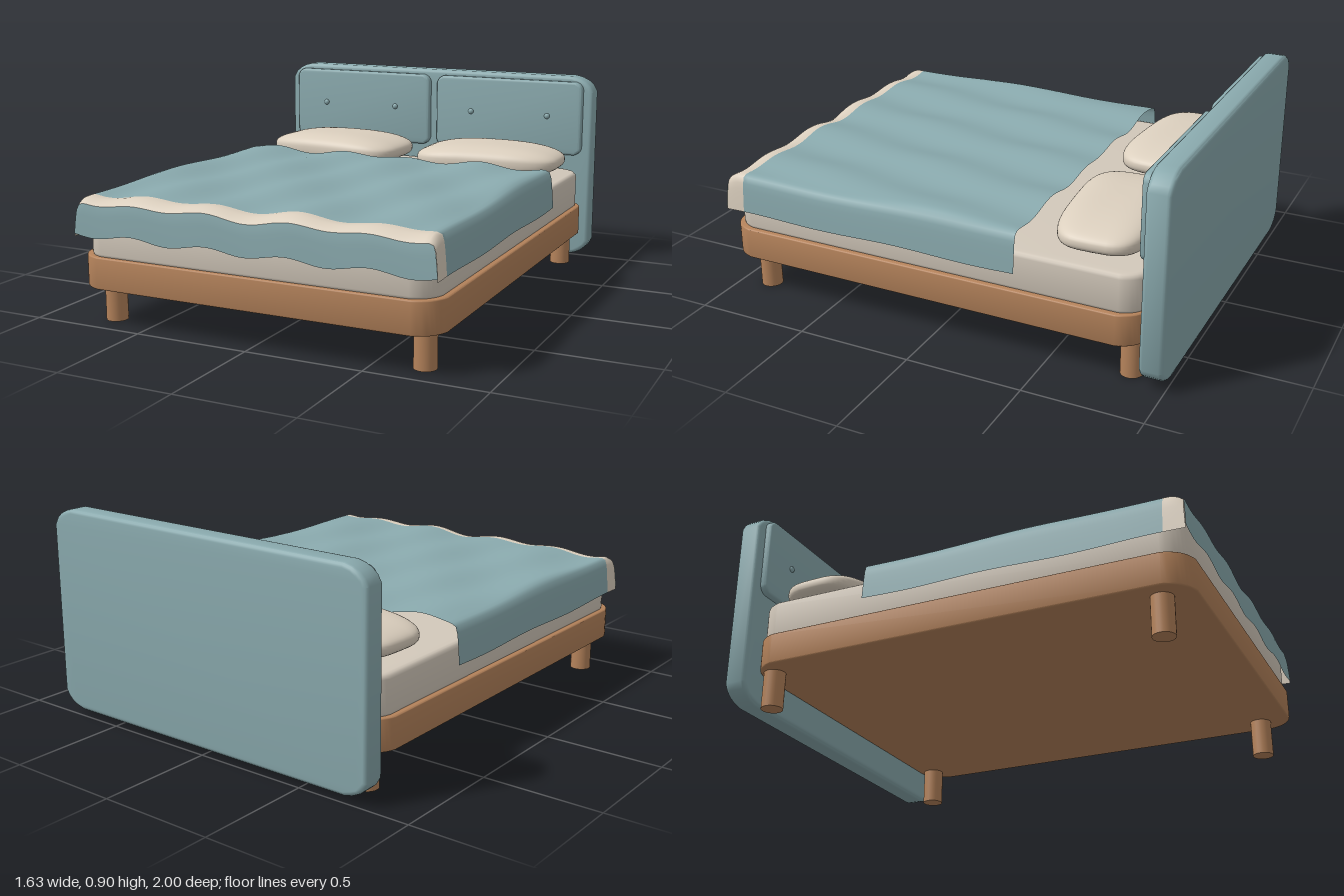
import * as THREE from 'three';
import { toCreasedNormals } from 'three/addons/utils/BufferGeometryUtils.js';

const mat = (name, color, side = THREE.FrontSide) => {
  const m = new THREE.MeshStandardMaterial({ color, side });
  m.name = name;
  return m;
};

// Slab with rounded outline (w x h), thickness d from z = 0, softened edges
function slab(w, h, d, rx, ry, bevel, segs = 6) {
  const x = w / 2 - bevel, y = h / 2 - bevel;
  const s = new THREE.Shape();
  s.moveTo(-x + rx, -y);
  s.lineTo(x - rx, -y);
  s.quadraticCurveTo(x - rx * 0.2, -y + ry * 0.2, x, -y + ry);
  s.lineTo(x, y - ry);
  s.quadraticCurveTo(x - rx * 0.2, y - ry * 0.2, x - rx, y);
  s.lineTo(-x + rx, y);
  s.quadraticCurveTo(-x + rx * 0.2, y - ry * 0.2, -x, y - ry);
  s.lineTo(-x, -y + ry);
  s.quadraticCurveTo(-x + rx * 0.2, -y + ry * 0.2, -x + rx, -y);
  const g = new THREE.ExtrudeGeometry(s, {
    depth: d - 2 * bevel, bevelEnabled: true, bevelSize: bevel,
    bevelThickness: bevel, bevelSegments: 3, curveSegments: segs,
  });
  g.translate(0, 0, bevel);
  return toCreasedNormals(g, 0.6);
}

// Surface from a rule: fn(column, row) -> [x, y, z]
function patch(fn, cols, rows) {
  const pos = [], idx = [];
  for (let j = 0; j <= rows; j++)
    for (let i = 0; i <= cols; i++) pos.push(...fn(i, j));
  for (let j = 0; j < rows; j++)
    for (let i = 0; i < cols; i++) {
      const a = j * (cols + 1) + i, b = a + cols + 1;
      idx.push(a, b, a + 1, b, b + 1, a + 1);
    }
  const g = new THREE.BufferGeometry();
  g.setAttribute('position', new THREE.Float32BufferAttribute(pos, 3));
  g.setIndex(idx);
  g.computeVertexNormals();
  return g;
}

export function createModel() {
  const root = new THREE.Group();
  root.name = 'bed';
  const teal = mat('tealUpholstery', 0x8aaaae);
  const tealCloth = mat('tealCloth', 0x8aaaae, THREE.DoubleSide);
  const wood = mat('wood', 0xb5835b);
  const sheet = mat('mattressSheet', 0xd3c9bb);
  const linen = mat('linen', 0xdbcfbe);
  const trim = mat('blanketTrim', 0xdbcfbe, THREE.DoubleSide);

  const add = (name, geo, material, x = 0, y = 0, z = 0) => {
    const m = new THREE.Mesh(geo, material);
    m.name = name;
    m.position.set(x, y, z);
    root.add(m);
    return m;
  };

  // Headboard, padded panels and buttons
  add('headboard', slab(1.63, 0.88, 0.1, 0.09, 0.06, 0.018, 4), teal, 0, 0.463, -1);
  for (const s of [-1, 1]) {
    add('headboardPanel', slab(0.75, 0.355, 0.045, 0.025, 0.025, 0.012), teal, s * 0.395, 0.7, -0.915);
    for (const x of [0.207, 0.6]) {
      const b = new THREE.SphereGeometry(0.014, 14, 10);
      b.scale(1, 1, 0.8);
      add('panelButton', b, teal, s * x, 0.708, -0.87);
    }
  }

  // Frame, legs and mattress
  const frame = slab(1.594, 1.9, 0.135, 0.1, 0.1, 0.006, 8);
  frame.rotateX(-Math.PI / 2);
  add('bedFrame', frame, wood, 0, 0.16, 0.05);
  for (const x of [-0.697, 0.697])
    for (const z of [-0.835, 0.865])
      add('leg', new THREE.CylinderGeometry(0.046, 0.046, 0.17, 24), wood, x, 0.085, z);
  const mattress = slab(1.55, 1.88, 0.17, 0.08, 0.08, 0.02, 8);
  mattress.rotateX(-Math.PI / 2);
  add('mattress', mattress, sheet, 0, 0.285, 0.045);

  // Plump pillows: sphere squared off into a cushion
  for (const s of [-1, 1]) {
    const g = new THREE.SphereGeometry(1, 48, 32);
    const p = g.attributes.position;
    const pw = (v, e) => Math.sign(v) * Math.abs(v) ** e;
    for (let i = 0; i < p.count; i++) {
      const y = THREE.MathUtils.clamp(p.getY(i), -1, 1);
      const r = Math.sqrt(1 - y * y);
      const a = Math.atan2(p.getZ(i), p.getX(i));
      const k = pw(r, 0.6);
      const x = pw(Math.cos(a), 0.55) * k, z = pw(Math.sin(a), 0.55) * k;
      const thin = 1 - 0.25 * x * x;
      p.setXYZ(i, x * 0.345, pw(y, 0.75) * 0.075 * thin, z * 0.2 * (1 - 0.08 * s * x));
    }
    g.computeVertexNormals();
    // close the shading seam of the sphere
    const n = g.attributes.normal;
    for (let j = 1; j < 32; j++) {
      const a = j * 49, b = a + 48;
      const v = new THREE.Vector3().fromBufferAttribute(n, a)
        .add(new THREE.Vector3().fromBufferAttribute(n, b)).normalize();
      n.setXYZ(a, v.x, v.y, v.z);
      n.setXYZ(b, v.x, v.y, v.z);
    }
    add('pillow', g, linen, s * 0.397, 0.526, -0.65).rotation.y = s * 0.045;
  }

  // Rippled blanket: top with side drops, trim band, front drop
  const N = 80, D = 6;
  const ripple = (x, z) => 0.009 * Math.sin(18 * x + 3.5 * z + 1.2) + 0.005 * Math.sin(11 * x - 8 * z);
  const topY = (x, z) => {
    const ex = Math.max(0, (Math.abs(x) - 0.74) / 0.035);
    const ez = Math.max(0, (z - 0.93) / 0.06);
    return 0.54 + ripple(x, z) * (1 - 0.5 * Math.min(1, ex)) - 0.012 * ex * ex - 0.025 * ez * ez;
  };
  const across = (i, z) => {
    const c = i - D;
    if (c >= 0 && c <= N) {
      const x = -0.775 + 1.55 * c / N;
      return [x, topY(x, z), z];
    }
    const s = c < 0 ? -1 : 1;
    const t = (c < 0 ? -c : c - N) / D;
    const hem = 0.37 + 0.004 * Math.sin(9 * z);
    return [s * (0.775 + 0.02 * Math.sqrt(t)), THREE.MathUtils.lerp(topY(s * 0.775, z), hem, t), z + (z > 0.98 ? 0.008 * t : 0)];
  };
  const strip = (z0, z1, rows) => patch((i, j) => across(i, z0 + (z1 - z0) * j / rows), N + 2 * D, rows);
  add('blanketTop', strip(-0.37, 0.91, 56), tealCloth);
  add('blanketTrimBand', strip(0.91, 0.99, 8), trim);
  add('blanketFrontDrop', patch((i, j) => {
    const t = j / D, u = -1 + 2 * i / N;
    const x = u * (0.775 + 0.02 * Math.sqrt(t));
    const hem = 0.383 + 0.011 * Math.sin(18 * x + 4.7);
    return [x, THREE.MathUtils.lerp(topY(u * 0.775, 0.99), hem, t), 0.99 + 0.009 * Math.sqrt(t)];
  }, N, D), tealCloth);

  return root;
}
